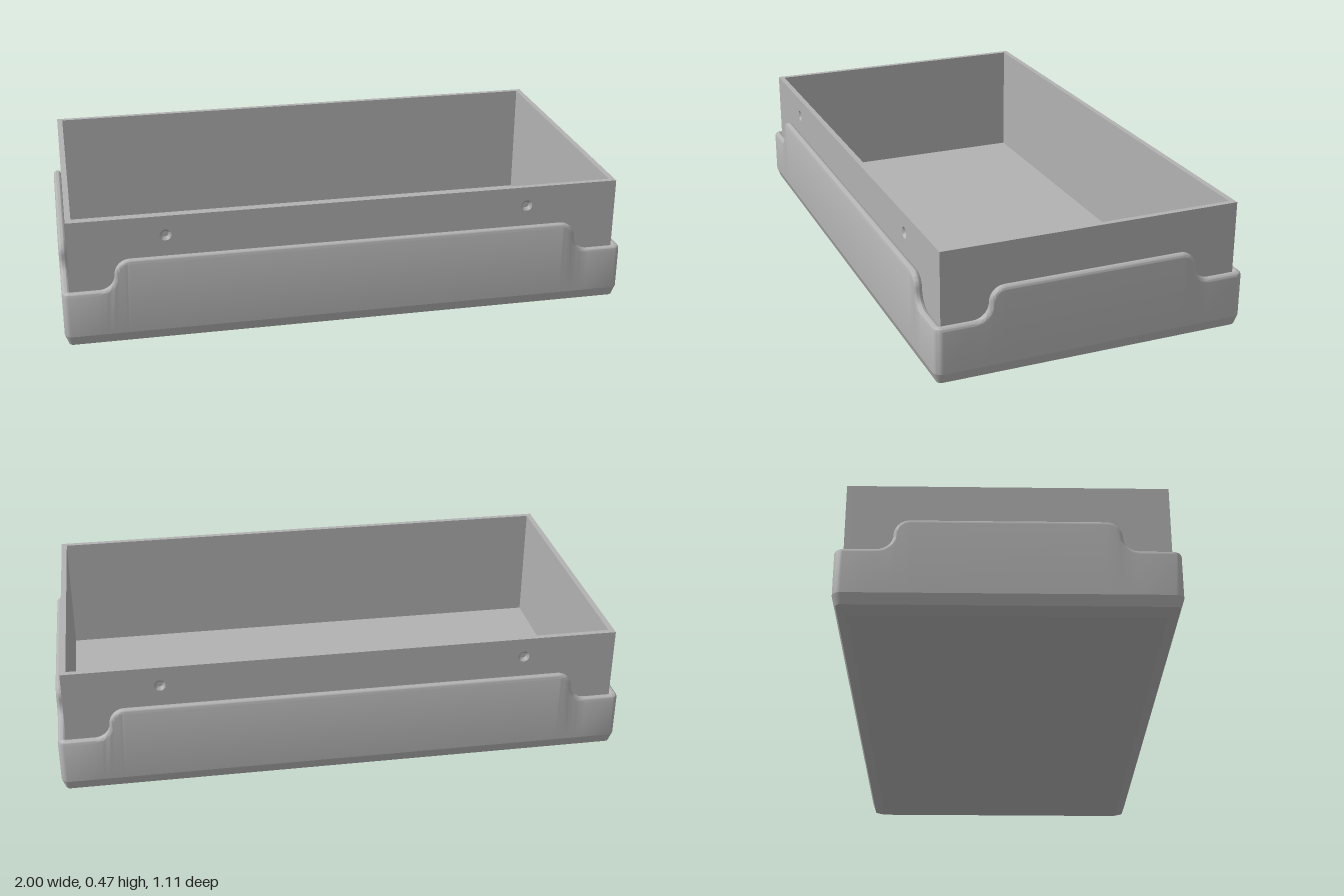
import * as THREE from 'three';
import { toCreasedNormals } from 'three/addons/utils/BufferGeometryUtils.js';

const HX = 1, HZ = 0.557;          // half size of the outer sleeve
const LIP = 0.029;                 // sleeve thickness, also its corner radius
const TOP = 0.466, FLOOR = 0.033, WALL = 0.02;
const TX = HX - LIP, TZ = HZ - LIP; // half size of the inner tray
const LOW = 0.217, HIGH = 0.325, CORNER_STEPS = 6;

const outward = (a) => [Math.sin(a), Math.cos(a)];
const along = (a) => [Math.cos(a), -Math.sin(a)];

// Rim curve of one side: [position, height, normal along side, normal up]
function rimCurve(half, flat) {
  const r = (HIGH - LOW) / 2, n = 10, right = [];
  for (let i = 0; i <= n; i++) {
    const q = (1 - i / n) * Math.PI / 2, c = Math.cos(q), s = Math.sin(q);
    right.push([flat + r * c, HIGH - r + r * s, c, s]);
  }
  for (let i = 1; i <= n; i++) {
    const q = (i / n) * Math.PI / 2, c = Math.cos(q), s = Math.sin(q);
    right.push([flat + 2 * r - r * c, LOW + r - r * s, c, s]);
  }
  right.push([half - LIP, LOW, 0, 1]);
  const left = right.map(([p, h, a, b]) => [-p, h, -a, b]).reverse();
  return [...left, ...right];
}

// Stations around the whole sleeve, counter-clockwise from above
function sleeveStations() {
  const list = [];
  for (let k = 0; k < 4; k++) {
    const a = k * Math.PI / 2, o = outward(a), t = along(a);
    const [dist, half, flat] = k % 2 ? [HX, HZ, 0.315] : [HZ, HX, 0.765];
    for (const [p, h, ns, ny] of rimCurve(half, flat)) {
      list.push({ x: o[0] * dist + t[0] * p, z: o[1] * dist + t[1] * p, o, t, h, ns, ny, k });
    }
    for (let i = 1; i < CORNER_STEPS; i++) {
      const b = a + (i / CORNER_STEPS) * Math.PI / 2, d = outward(b);
      list.push({
        x: o[0] * (dist - LIP) + t[0] * (half - LIP) + LIP * d[0],
        z: o[1] * (dist - LIP) + t[1] * (half - LIP) + LIP * d[1],
        o: d, t: along(b), h: LOW, ns: 0, ny: 1,
      });
    }
  }
  return list;
}

// Rounded rectangle ring at one height
function ring(inset, y) {
  const r = Math.max(LIP - inset, 0.001), pts = [];
  for (const [sx, sz, k] of [[1, 1, 0], [1, -1, 1], [-1, -1, 2], [-1, 1, 3]]) {
    for (let i = 0; i <= CORNER_STEPS; i++) {
      const d = outward((k + i / CORNER_STEPS) * Math.PI / 2);
      pts.push([sx * (HX - inset - r) + r * d[0], y, sz * (HZ - inset - r) + r * d[1]]);
    }
  }
  return pts;
}

// Skin between closed rows of points, rows running upward
function loft(rows, crease) {
  const n = rows[0].length, idx = [];
  for (let j = 0; j < rows.length - 1; j++) {
    for (let i = 0; i < n; i++) {
      const a = j * n + i, b = j * n + (i + 1) % n;
      idx.push(a, b, b + n, a, b + n, a + n);
    }
  }
  const g = new THREE.BufferGeometry();
  g.setAttribute('position', new THREE.Float32BufferAttribute(rows.flat(2), 3));
  g.setIndex(idx);
  return toCreasedNormals(g, crease);
}

export function createModel() {
  const model = new THREE.Group();
  model.name = 'openTray';
  const grey = new THREE.MeshStandardMaterial({ color: 0xb2b2b2 });
  grey.name = 'plain grey';
  const add = (name, geometry, parent = model) => {
    const m = new THREE.Mesh(geometry, grey);
    m.name = name;
    parent.add(m);
    return m;
  };

  // Sleeve wall with a fully rounded, stepped rim
  const stations = sleeveStations(), r = LIP / 2, rows = [];
  rows.push(stations.map((s) => [s.x, 0.055, s.z]));
  for (let i = 0; i <= 12; i++) {
    const q = (i / 12) * Math.PI, inset = r * (1 - Math.cos(q)), drop = r * (1 - Math.sin(q));
    rows.push(stations.map((s) => [
      s.x - s.o[0] * inset - s.t[0] * s.ns * drop,
      s.h - s.ny * drop,
      s.z - s.o[1] * inset - s.t[1] * s.ns * drop,
    ]));
  }
  add('sleeve', loft(rows, 0.6));

  // Two-step chamfered underside, closed at the centre
  const bottom = ring(0.052, 0);
  add('chamferedBase', loft([ring(0.013, 0.019), ring(0, 0.055)], 0.3));
  add('lowerChamfer', loft([bottom, ring(0.013, 0.019)], 0.3));
  add('underside', loft([bottom.map(() => [0, 0, 0]), bottom], 0.3));

  // Tray floor and end walls
  const box = (name, w, h, d, x, y, z) =>
    add(name, new THREE.BoxGeometry(w, h, d)).position.set(x, y, z);
  box('trayFloor', 2 * TX, FLOOR - 0.02, 2 * TZ, 0, (FLOOR + 0.02) / 2, 0);
  const wallH = TOP - FLOOR, wallY = (TOP + FLOOR) / 2;
  for (const s of [-1, 1]) {
    box(s > 0 ? 'leftWall' : 'rightWall', WALL, wallH, 2 * (TZ - WALL), s * (TX - WALL / 2), wallY, 0);
  }

  // Front and back walls with two blind countersunk holes each
  const depth = 0.012, holeR = 0.02, holeX = 0.64, holeY = 0.396;
  const panel = new THREE.Shape([
    new THREE.Vector2(-TX, FLOOR), new THREE.Vector2(TX, FLOOR),
    new THREE.Vector2(TX, TOP), new THREE.Vector2(-TX, TOP),
  ]);
  for (const s of [-1, 1]) {
    panel.holes.push(new THREE.Path().absarc(s * holeX, holeY, holeR, 0, Math.PI * 2, true));
  }
  const outer = new THREE.ExtrudeGeometry(panel, { depth, bevelEnabled: false, curveSegments: 24 });
  const inner = new THREE.BoxGeometry(2 * TX, wallH, WALL - depth);
  const dimple = toCreasedNormals(new THREE.LatheGeometry([
    new THREE.Vector2(0, -depth + 0.001), new THREE.Vector2(0.01, -depth + 0.001),
    new THREE.Vector2(holeR, 0),
  ].reverse(), 24).rotateX(Math.PI / 2), 0.5);
  // The dimple faces outward along +z
  const pos = dimple.attributes.position, nor = dimple.attributes.normal;
  if (nor.getZ(0) < 0) {
    for (let i = 0; i < pos.count; i += 3) {
      const a = new THREE.Vector3().fromBufferAttribute(pos, i);
      const c = new THREE.Vector3().fromBufferAttribute(pos, i + 2);
      pos.setXYZ(i, c.x, c.y, c.z);
      pos.setXYZ(i + 2, a.x, a.y, a.z);
    }
    dimple.computeVertexNormals();
  }
  for (const s of [1, -1]) {
    const wall = new THREE.Group();
    wall.name = s > 0 ? 'frontWall' : 'backWall';
    add('outerPanel', outer, wall).position.z = TZ - depth;
    add('innerPanel', inner, wall).position.set(0, wallY, TZ - (WALL + depth) / 2);
    for (const e of [-1, 1]) add('screwHole', dimple, wall).position.set(e * holeX, holeY, TZ);
    if (s < 0) wall.rotation.y = Math.PI;
    model.add(wall);
  }
  return model;
}
